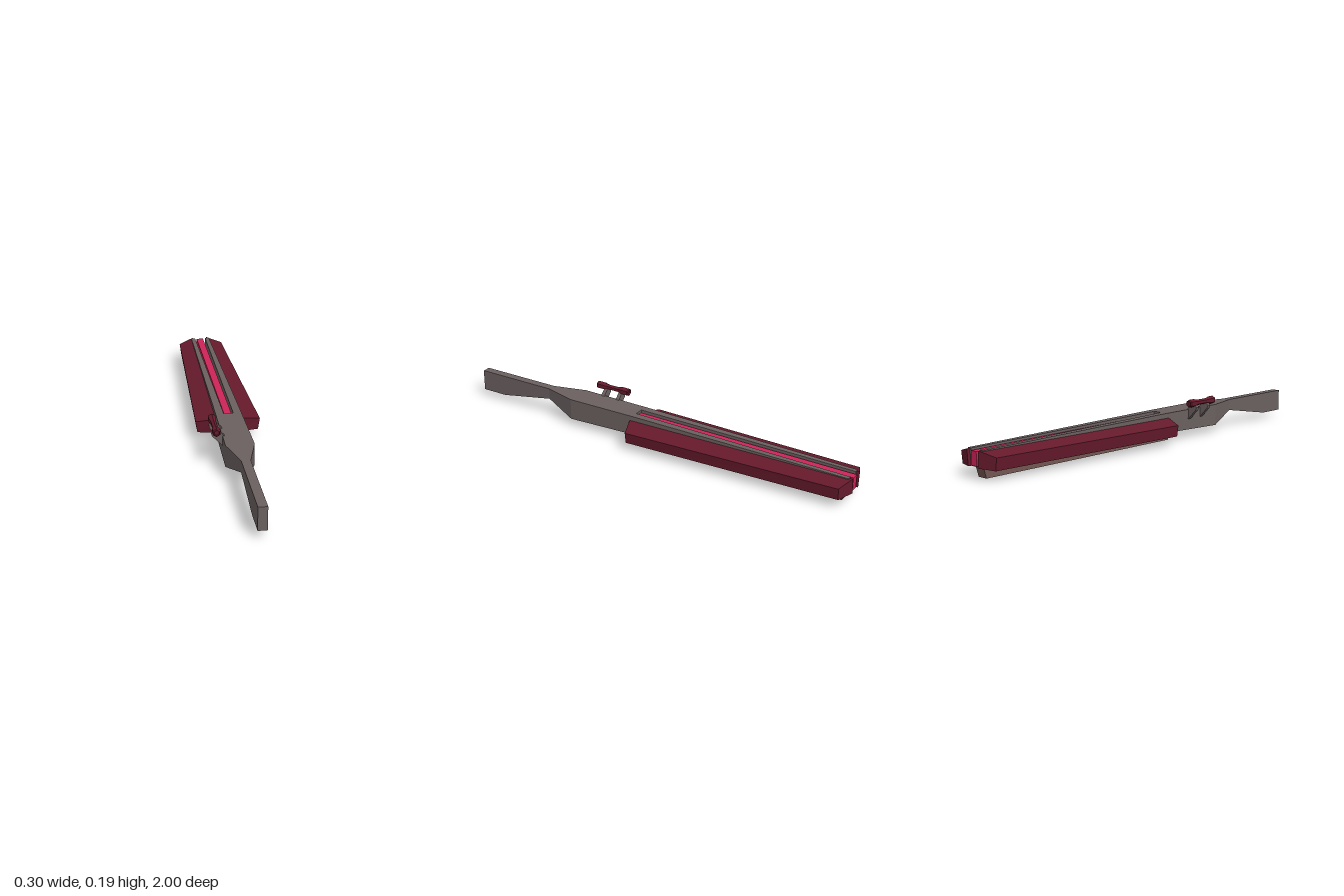
import * as THREE from 'three';

const mat = (color) => new THREE.MeshStandardMaterial({ color, flatShading: true });

// Solid through convex sections, given counter-clockwise seen from +z and running towards -z
function loft(sections) {
  const pos = [];
  const tri = (...pts) => pts.forEach((p) => pos.push(...p));
  const n = sections[0].length;
  for (let i = 0; i < sections.length - 1; i++) {
    for (let j = 0; j < n; j++) {
      const k = (j + 1) % n;
      const a = sections[i][j], b = sections[i][k], c = sections[i + 1][k], d = sections[i + 1][j];
      tri(a, d, c);
      tri(a, c, b);
    }
  }
  const first = sections[0], last = sections[sections.length - 1];
  for (let j = 1; j < n - 1; j++) {
    tri(first[0], first[j], first[j + 1]);
    tri(last[0], last[j + 1], last[j]);
  }
  const g = new THREE.BufferGeometry();
  g.setAttribute('position', new THREE.Float32BufferAttribute(pos, 3));
  g.computeVertexNormals();
  return g;
}

// Rectangular section
const rect = (x0, x1, y0, y1, z) => [[x0, y0, z], [x1, y0, z], [x1, y1, z], [x0, y1, z]];

// Mirror a list of sections across x, keeping the winding
const mirror = (sections) => sections.map((s) => s.map(([x, y, z]) => [-x, y, z]).reverse());

export function createModel() {
  const model = new THREE.Group();
  const grey = mat(0x6b6060);
  const maroon = mat(0x661a2c);
  const pink = mat(0xcc2458);
  const brown = mat(0x735852);

  const add = (name, geometry, material, parent = model) => {
    const mesh = new THREE.Mesh(geometry, material);
    mesh.name = name;
    parent.add(mesh);
    return mesh;
  };

  // Shoulder stock, slim grip and receiver
  add('stock', loft([
    [0.02, 0.033, 1], [0.02, 0.033, 0.87], [0.02, 0.082, 0.59],
    [0.063, 0.034, 0.43], [0.059, 0.043, 0.085],
  ].map(([w, y, z]) => rect(-w, w, y, 0.135, z))), grey);

  // Open channel along the barrel: floor and two rails
  add('channelFloor', loft([
    rect(-0.055, 0.055, 0.043, 0.075, 0.085), rect(-0.042, 0.042, 0.048, 0.075, -0.98),
  ]), grey);
  const rail = [rect(0.022, 0.059, 0.05, 0.135, 0.085), rect(0.027, 0.047, 0.05, 0.123, -0.985)];
  add('leftRail', loft(rail), grey);
  add('rightRail', loft(mirror(rail)), grey);

  // Bright bar lying in the channel
  add('coreBar', loft([
    rect(-0.017, 0.017, 0.055, 0.123, 0.09), rect(-0.017, 0.017, 0.055, 0.116, -0.995),
  ]), pink);

  // Side panels with slanted ends
  const panel = [
    [[0.025, 0.045, 0.1], [0.14, 0.04, 0.065], [0.148, 0.092, 0.065], [0.05, 0.114, 0.1]],
    [[0.03, 0.05, -1], [0.105, 0.045, -0.97], [0.112, 0.1, -0.97], [0.036, 0.122, -1]],
  ];
  add('leftPanel', loft(panel), maroon);
  add('rightPanel', loft(mirror(panel)), maroon);

  // Keel under the barrel, ends sloping inwards to the bottom
  const keel = new THREE.Shape([
    [-0.145, 0.047], [-0.13, 0], [0.953, 0], [0.968, 0.052],
  ].map(([u, y]) => new THREE.Vector2(u, y)));
  const keelGeometry = new THREE.ExtrudeGeometry(keel, { depth: 0.05, bevelEnabled: false });
  keelGeometry.translate(0, 0, -0.025).rotateY(Math.PI / 2);
  add('keel', keelGeometry, brown);

  // Offset sight: waisted hexagonal tube with recessed ends
  const sight = new THREE.Group();
  sight.name = 'sight';
  model.add(sight);
  const tube = new THREE.LatheGeometry([
    [0, -0.082], [0.012, -0.082], [0.014, -0.09], [0.019, -0.084], [0.019, -0.055], [0.013, -0.03],
    [0.013, 0.03], [0.019, 0.055], [0.019, 0.084], [0.014, 0.09], [0.012, 0.082], [0, 0.082],
  ].map(([r, y]) => new THREE.Vector2(r, y)), 6);
  tube.rotateX(Math.PI / 2).translate(-0.092, 0.169, 0.288);
  add('sightTube', tube, maroon, sight);

  // Two slanted brackets holding the sight
  const bracket = new THREE.Shape([
    [-0.111, 0.15], [-0.107, 0.137], [-0.06, 0.088], [-0.05, 0.133], [-0.076, 0.158], [-0.09, 0.166],
  ].map(([x, y]) => new THREE.Vector2(x, y)));
  for (const z of [0.242, 0.325]) {
    const g = new THREE.ExtrudeGeometry(bracket, { depth: 0.018, bevelEnabled: false });
    add('sightBracket', g.translate(0, 0, z - 0.009), grey, sight);
  }

  return model;
}
